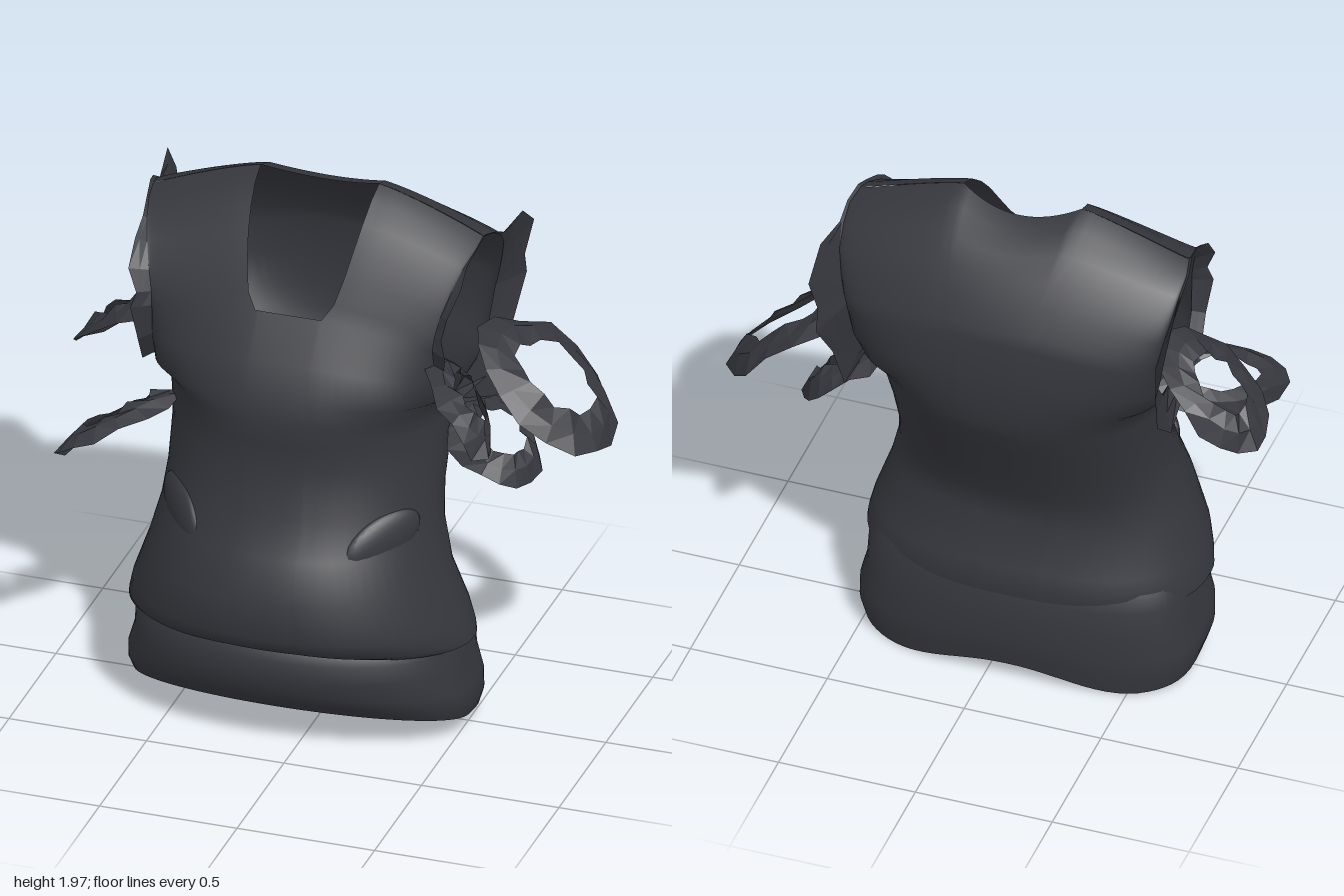
import * as THREE from 'three';
import { mergeVertices } from 'three/addons/utils/BufferGeometryUtils.js';

const CX = -0.08; // the garment's own middle
const cloth = new THREE.MeshStandardMaterial({ color: 0x36373d, side: THREE.DoubleSide });
cloth.name = 'charcoal cloth';

let seed = 7;
const rand = () => (seed = (seed * 16807) % 2147483647) / 2147483647;
const clamp01 = (v) => Math.min(1, Math.max(0, v));

// Sheet of nu x nv cells from a point function; skip(i, j) leaves a cell open
function sheet(pos, index, nu, nv, fn, flip, skip = () => false) {
  const base = pos.length / 3;
  for (let j = 0; j <= nv; j++) for (let i = 0; i <= nu; i++) pos.push(...fn(i, j));
  for (let j = 0; j < nv; j++) for (let i = 0; i < nu; i++) {
    if (skip(i, j)) continue;
    const a = base + j * (nu + 1) + i, b = a + 1, c = a + nu + 1, d = c + 1;
    if (flip) index.push(a, c, b, b, c, d);
    else index.push(a, b, c, b, d, c);
  }
}

function finish(pos, index, smooth) {
  let g = new THREE.BufferGeometry();
  g.setAttribute('position', new THREE.Float32BufferAttribute(pos, 3));
  g.setIndex(index);
  g = smooth ? mergeVertices(g, 1e-4) : g.toNonIndexed();
  g.computeVertexNormals();
  return g;
}

// Closed body rows: y at centre, y at sides, half width, front z, back z, side z
const bodyRows = [
  [0.43, 0.39, 0.62, 0.44, -0.29, 0.08],
  [0.46, 0.42, 0.615, 0.51, -0.295, 0.08],
  [0.52, 0.49, 0.597, 0.55, -0.285, 0.09],
  [0.66, 0.65, 0.54, 0.55, -0.215, 0.09],
  [0.80, 0.80, 0.50, 0.48, -0.26, 0.07],
  [0.92, 0.92, 0.488, 0.41, -0.32, 0.04],
  [1.10, 1.09, 0.49, 0.375, -0.40, -0.02],
  [1.20, 1.20, 0.50, 0.39, -0.455, -0.05],
  [1.28, 1.27, 0.51, 0.39, -0.48, -0.06],
];
// Rows beside the armholes: the same, ending in front edge z and back edge z
const chestRows = [
  [1.36, 1.33, 0.52, 0.38, -0.49, 0.10, -0.20],
  [1.48, 1.43, 0.515, 0.32, -0.50, 0.16, -0.29],
  [1.62, 1.55, 0.51, 0.22, -0.48, 0.18, -0.34],
  [1.67, 1.60, 0.515, 0.19, -0.46, 0.17, -0.34],
  [1.75, 1.67, 0.53, 0.14, -0.41, 0.15, -0.33],
  [1.84, 1.75, 0.555, 0.08, -0.35, 0.10, -0.30],
  [1.91, 1.81, 0.575, 0.02, -0.28, 0.04, -0.24],
  [1.97, 1.85, 0.595, -0.05, -0.20, -0.04, -0.17],
  [2.00, 1.87, 0.60, -0.12, -0.12, -0.10, -0.10],
];
const ARM_ROW = bodyRows.length - 1, NECK_ROW = ARM_ROW + 3;
const LAST = ARM_ROW + chestRows.length, COLS = 48;

// Point on the shirt for s in -1..1 across a row
function shirtPoint(s, j, front) {
  const row = j > ARM_ROW ? chestRows[j - ARM_ROW - 1] : bodyRows[j];
  const [yC, yS, wF, zF, zB, eF, eB = eF] = row;
  // the back panel is wider beside the armholes
  const w = wF + (front ? 0 : 0.06 * Math.sin(Math.PI * clamp01((j - ARM_ROW) / (LAST - ARM_ROW))));
  const n = 0.12 + 0.095 * Math.sqrt(clamp01((yC - 1.62) / 0.38)); // neck half width
  const a = Math.abs(s), f = clamp01((a - 1 / 3) * 1.5);
  const x = a < 1 / 3 ? a * 3 * n : n + (w - n) * Math.sin(f * Math.PI / 2);
  const k = clamp01((x - n) / (w - n));
  const e = front ? eF : eB;
  const round = Math.pow(clamp01(1 - Math.pow(x / w, 2.3)), front ? 0.6 : 0.45);
  let y = yC + (yS - yC) * Math.pow(k, 1.2), z = e + ((front ? zF : zB) - e) * round;
  if (!front && j < 3) y -= 0.05 * round * (1 - j / 3); // hem hangs lower behind
  if (!front && j > NECK_ROW) { // dip at the nape
    const dip = clamp01(1 - (x / n) ** 2) * (j - NECK_ROW) / (LAST - NECK_ROW);
    y -= 0.045 * dip;
    z -= 0.05 * dip;
  }
  return [CX + Math.sign(s) * x, y, z];
}

function shirtGeometry() {
  const pos = [], index = [];
  const s = (i) => (i / COLS) * 2 - 1;
  sheet(pos, index, COLS, LAST, (i, j) => shirtPoint(s(i), j, true), false,
    (i, j) => j >= NECK_ROW && i >= COLS / 3 && i < COLS * 2 / 3);
  sheet(pos, index, COLS, LAST, (i, j) => shirtPoint(s(i), j, false), true);
  return finish(pos, index, true);
}

// Lower layer hanging below the shirt: half width, front z, back z, share of height
const bandRows = [
  [0.60, 0.37, -0.29, 0], [0.618, 0.41, -0.30, 0.16], [0.615, 0.445, -0.31, 0.35],
  [0.59, 0.46, -0.305, 0.6], [0.585, 0.46, -0.295, 0.85], [0.56, 0.43, -0.27, 1],
];
function bandGeometry() {
  const pos = [], index = [];
  const point = (front) => (i, j) => {
    const [w, zF, zB, t] = bandRows[j];
    const a = (i / 40 - 0.5) * Math.PI, sx = Math.sin(a), u = Math.abs(sx);
    const round = Math.pow(Math.max(0, Math.cos(a)), front ? 0.9 : 0.5);
    // hem slopes down to the back corners and lifts at the back centre
    const lift = front ? 0 : 0.09 * Math.cos(Math.PI / 2 * clamp01(u / 0.8)) ** 2;
    const hem = front ? 0.085 + 0.085 * round : 0.085 * (1 - round) ** 0.7 + lift;
    return [CX + w * sx, hem + (0.43 - hem) * t, 0.07 + ((front ? zF : zB) - 0.07) * round];
  };
  sheet(pos, index, 40, 5, point(true), false);
  sheet(pos, index, 40, 5, point(false), true);
  return finish(pos, index, true);
}

// Fold of cloth inside the belly
function foldGeometry() {
  const pos = [], index = [];
  sheet(pos, index, 16, 3, (i, j) => {
    const x = (i / 16 - 0.5) * 0.9, wall = 0.46 * Math.sqrt(1 - (x / 0.6) ** 2);
    const rim = 0.08 + 0.012 * Math.cos(i * 1.6);
    return [CX + x, 0.47 + 0.03 * j, wall + (rim - wall) * j / 3];
  }, false);
  return finish(pos, index, true);
}

// Ragged border round one armhole, widest at the back
function tornEdgeGeometry(side) {
  const rim = [];
  for (let j = ARM_ROW; j <= LAST; j++) rim.push(shirtPoint(side, j, true));
  for (let j = LAST - 1; j >= ARM_ROW; j--) rim.push(shirtPoint(side, j, false));
  const rings = rim.map(([x, y, z], i) => {
    const dy = y - 1.58, dz = z + 0.08, l = Math.hypot(dy, dz);
    const reach = (dz < 0 && y < 1.8 ? 0.13 : 0.03) * (0.7 + 0.6 * rand()) * (y > 1.8 ? 0.3 : 1);
    const out = (y > 1.8 ? 0.01 : 0.05) * (0.6 + 0.7 * rand());
    const at = (k) => [x + side * out * k, y + dy / l * reach * k, z + dz / l * reach * k];
    return [at(0), at(0.55), at(i % 2 ? 1.2 : 0.9)];
  });
  rings[rings.length - 1] = rings[0];
  const pos = [], index = [];
  sheet(pos, index, rim.length - 1, 2, (i, j) => rings[i][j], side < 0);
  return finish(pos, index, false);
}

// Torn strip hanging as a bent loop: from and to are its ends, half its sideways half axis
function loopGeometry(from, to, half, inner) {
  const A = new THREE.Vector3(...from), B = new THREE.Vector3(...to), H = new THREE.Vector3(...half);
  const mid = A.clone().add(B).multiplyScalar(0.5), L = B.sub(A).multiplyScalar(0.5);
  const up = new THREE.Vector3().crossVectors(L, H).normalize();
  if (up.y < 0) up.negate();
  const N = 16, ring = [];
  for (let i = 0; i < N; i++) {
    const a = (i / N) * Math.PI * 2;
    const at = (k, lift) => mid.clone().addScaledVector(L, Math.cos(a) * k)
      .addScaledVector(H, Math.sin(a) * k).addScaledVector(up, lift).toArray();
    ring.push([at(inner * (0.9 + 0.2 * rand()), 0.04 + 0.03 * (rand() - 0.5)),
      at((1 + inner) / 2, 0.02), at(0.92 + 0.1 * rand(), -0.02 + 0.04 * (rand() - 0.5))]);
  }
  const pos = [], index = [];
  sheet(pos, index, N, 2, (i, j) => ring[i % N][j], true);
  return finish(pos, index, false);
}

export function createModel() {
  const model = new THREE.Group();
  model.name = 'tornShirt';
  const add = (name, geometry) => {
    const mesh = new THREE.Mesh(geometry, cloth);
    mesh.name = name;
    model.add(mesh);
    return mesh;
  };
  add('shirt', shirtGeometry());
  add('lowerLayer', bandGeometry());
  add('innerFold', foldGeometry());

  for (const side of [-1, 1]) {
    const name = side > 0 ? 'left' : 'right';
    add(name + 'TornArmhole', tornEdgeGeometry(side));
    // Slanted bulge at the waist
    const bulge = add(name + 'WaistBulge', new THREE.SphereGeometry(1, 20, 14));
    bulge.scale.set(0.16, 0.085, 0.035);
    bulge.position.set(CX + side * 0.365, 0.84, 0.285);
    bulge.rotation.set(-0.2, side * 0.85, side * 0.5);
  }

  // Torn sleeve strips
  add('leftBackStrip', loopGeometry([0.48, 1.48, -0.2], [0.98, 1.09, -0.19], [0.02, 0.03, -0.26], 0.5));
  add('leftFrontStrip', loopGeometry([0.43, 1.46, 0.02], [0.69, 1.33, 0.45], [0.09, -0.09, -0.05], 0.45));
  add('leftLowerStrip', loopGeometry([0.4, 1.18, -0.1], [0.73, 0.98, -0.14], [0, 0.06, -0.18], 0.45));
  add('rightBackStrip', loopGeometry([-0.58, 1.48, -0.1], [-0.98, 1.2, -0.13], [0.02, 0.06, 0.18], 0.45));
  add('rightFrontStrip', loopGeometry([-0.5, 1.17, 0.02], [-0.86, 1.06, 0.43], [-0.1, -0.08, -0.07], 0.45));
  return model;
}
